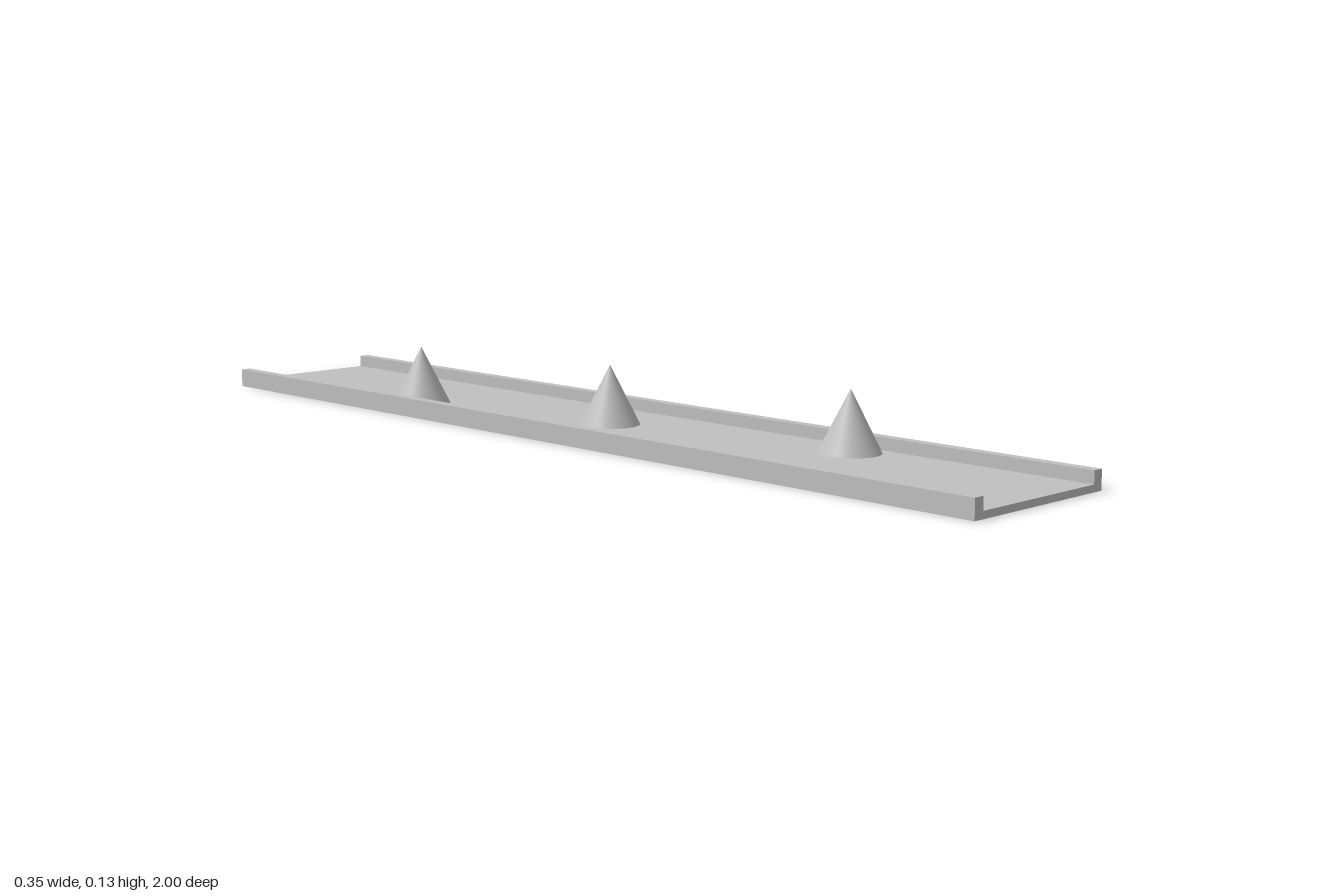
import * as THREE from 'three';

export function createModel() {
  const model = new THREE.Group();
  const grey = new THREE.MeshStandardMaterial({ color: 0xc0c0c0 });
  grey.name = 'light grey';

  const halfWidth = 0.176, inner = 0.154, floorY = 0.0135, railY = 0.0375, length = 2;

  // U-shaped channel: floor with a low rail along each side
  const profile = new THREE.Shape([
    [-halfWidth, 0], [halfWidth, 0], [halfWidth, railY], [inner, railY],
    [inner, floorY], [-inner, floorY], [-inner, railY], [-halfWidth, railY],
  ].map(([x, y]) => new THREE.Vector2(x, y)));
  const trackGeometry = new THREE.ExtrudeGeometry(profile, { depth: length, bevelEnabled: false });
  trackGeometry.translate(0, 0, -length / 2);
  const track = new THREE.Mesh(trackGeometry, grey);
  track.name = 'track';
  model.add(track);

  // Cones standing on the floor in a diagonal row
  const coneHeight = 0.117;
  const coneGeometry = new THREE.ConeGeometry(0.059, coneHeight, 64);
  coneGeometry.translate(0, floorY + coneHeight / 2, 0);
  const spots = { backCone: [-0.092, -0.468], middleCone: [0, 0], frontCone: [0.092, 0.527] };
  for (const [name, [x, z]] of Object.entries(spots)) {
    const cone = new THREE.Mesh(coneGeometry, grey);
    cone.name = name;
    cone.position.set(x, 0, z);
    model.add(cone);
  }
  return model;
}
